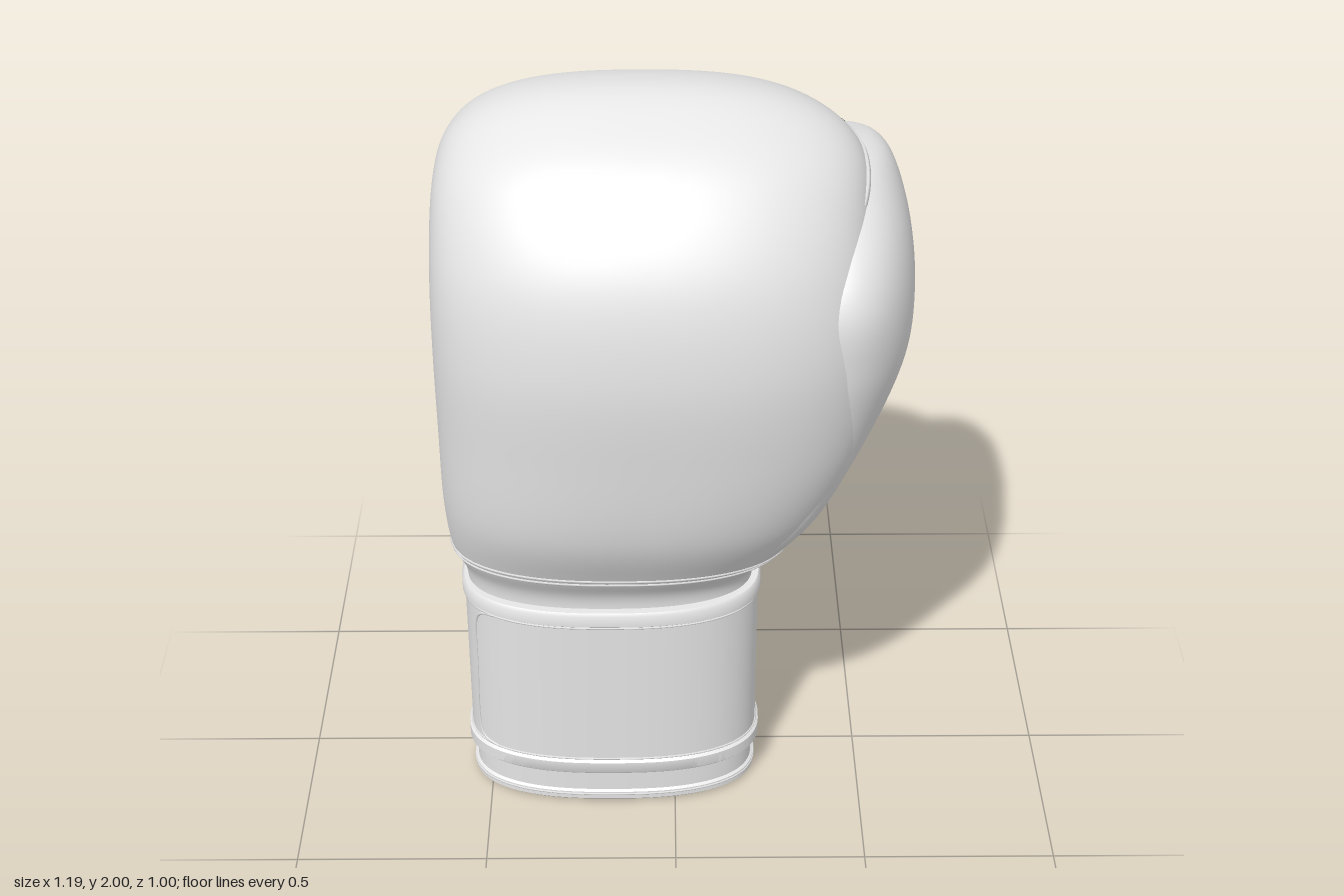
import * as THREE from 'three';
import { toCreasedNormals } from 'three/addons/utils/BufferGeometryUtils.js';

const mat = (name, color) => {
  const m = new THREE.MeshStandardMaterial({ color });
  m.name = name;
  return m;
};

// Cross-section: [outer z, outer y, inner z, inner y, x min, x max, squareness, hollow of the inner side]
function sectionPoint([zo, yo, zi, yi, x0, x1, , hollow = 0], c, s) {
  const h = s + hollow * Math.max(0, -s) * Math.max(0, 1 - c * c / 0.6) ** 2;
  return new THREE.Vector3((x0 + x1) / 2 + c * (x1 - x0) / 2,
    (yo + yi) / 2 + h * (yo - yi) / 2, (zo + zi) / 2 + h * (zo - zi) / 2);
}
function ring(sec, count) {
  const pw = (v) => Math.sign(v) * Math.abs(v) ** (2 / sec[6]);
  return Array.from({ length: count }, (_, j) => {
    const a = (j / count) * Math.PI * 2;
    return sectionPoint(sec, pw(Math.cos(a)), pw(Math.sin(a)));
  });
}

// Smooth blend through a list of sections
function blend(list) {
  const curve = (f) => new THREE.CatmullRomCurve3(list.map((s) => new THREE.Vector3(...f(s))), false, 'catmullrom', 0.5);
  const a = curve((s) => [s[0], s[1], s[6]]);
  const b = curve((s) => [s[2], s[3], s[7] ?? 0]);
  const c = curve((s) => [s[4], s[5], 0]);
  return (t) => {
    const p = a.getPoint(t), q = b.getPoint(t), w = c.getPoint(t);
    return [p.x, p.y, q.x, q.y, w.x, w.y, p.z, q.z];
  };
}

// Skin between rings; skip(i, j, point) leaves a gap
function loft(sections, count, skip = () => false) {
  const pts = sections.flatMap((s) => ring(s, count)), idx = [];
  for (let i = 0; i < sections.length - 1; i++) {
    for (let j = 0; j < count; j++) {
      const k = (j + 1) % count, r = i * count, u = r + count;
      if (skip(i, j, pts[r + j])) continue;
      idx.push(r + j, u + j, r + k, r + k, u + j, u + k);
    }
  }
  const g = new THREE.BufferGeometry().setFromPoints(pts);
  g.setIndex(idx);
  g.computeVertexNormals();
  return g;
}
const sample = (f, rows) => Array.from({ length: rows + 1 }, (_, i) => f(i / rows));

// Mitt from wrist, over the knuckles, to the fingertips
const MITT = [
  [0.285, 0.62, -0.09, 0.62, -0.54, 0.2, 2.4],
  [0.295, 0.7, -0.095, 0.7, -0.55, 0.215, 2.4],
  [0.35, 0.79, -0.125, 0.78, -0.58, 0.295, 2.4, 0.1],
  [0.43, 0.95, -0.15, 0.93, -0.592, 0.395, 2.4, 0.28],
  [0.475, 1.18, -0.135, 1.12, -0.592, 0.475, 2.35, 0.4],
  [0.5, 1.45, -0.12, 1.3, -0.592, 0.495, 2.3, 0.42],
  [0.455, 1.69, -0.115, 1.42, -0.592, 0.48, 2.3, 0.4],
  [0.32, 1.88, -0.125, 1.5, -0.59, 0.475, 2.35, 0.35],
  [0.16, 1.97, -0.14, 1.53, -0.585, 0.475, 2.4, 0.28],
  [0, 2.0, -0.15, 1.54, -0.575, 0.45, 2.4, 0.18],
  [-0.2, 1.945, -0.16, 1.53, -0.555, 0.39, 2.65, 0.05],
  [-0.37, 1.82, -0.17, 1.5, -0.53, 0.35, 2.9],
  [-0.47, 1.67, -0.18, 1.45, -0.505, 0.32, 3],
  [-0.5, 1.52, -0.19, 1.38, -0.47, 0.29, 3],
  [-0.465, 1.36, -0.2, 1.32, -0.42, 0.265, 2.9],
  [-0.41, 1.275, -0.22, 1.27, -0.365, 0.24, 2.8],
  [-0.365, 1.235, -0.255, 1.235, -0.33, 0.22, 2.8],
  [-0.31, 1.22, -0.31, 1.22, -0.29, 0.19, 2.8],
];
const THUMB = [
  [0.22, 0.75, -0.03, 0.75, 0.1, 0.17],
  [0.29, 0.82, -0.04, 0.82, 0.14, 0.285],
  [0.34, 0.96, -0.02, 0.94, 0.17, 0.39],
  [0.36, 1.2, -0.07, 1.1, 0.17, 0.5],
  [0.385, 1.4, -0.22, 1.26, 0.17, 0.575],
  [0.38, 1.57, -0.36, 1.36, 0.18, 0.595],
  [0.285, 1.7, -0.41, 1.52, 0.2, 0.585],
  [0.11, 1.8, -0.39, 1.66, 0.23, 0.55],
  [-0.03, 1.815, -0.32, 1.75, 0.3, 0.505],
  [-0.17, 1.8, -0.17, 1.8, 0.4, 0.43],
].map((s) => [...s, 2.15]);
const mittAt = blend(MITT), thumbAt = blend(THUMB);

// Cuff section at height y, swollen by off
const cuffAt = (y, off) => [0.27 + y * 0.045 + off, y, -0.116 - off, y, -0.547 - off, 0.213 + off, 2.5];

// Point at x on the front (+1) or rear (-1) of a section
function onSection(sec, x, side) {
  const u = (x - (sec[4] + sec[5]) / 2) / ((sec[5] - sec[4]) / 2);
  const s = side * Math.max(0, 1 - Math.abs(u) ** sec[6]) ** (1 / sec[6]);
  return sectionPoint(sec, u, s);
}
// Point on the palm at x, y
function onPalm(x, y) {
  let lo = 0, hi = 0.45;
  for (let i = 0; i < 24; i++) {
    const m = (lo + hi) / 2;
    if (onSection(mittAt(m), x, -1).y < y) lo = m; else hi = m;
  }
  return onSection(mittAt(lo), x, -1);
}

export function createModel() {
  const glove = new THREE.Group();
  glove.name = 'boxingGlove';
  const leather = mat('pale leather', 0xe7e7e7);
  const black = mat('black tag', 0x1e1e1e);
  const add = (name, geo, material = leather) => {
    const m = new THREE.Mesh(geo, material);
    m.name = name;
    glove.add(m);
    return m;
  };
  const cord = (name, pts, r = 0.0035, closed = false) => add(name,
    new THREE.TubeGeometry(new THREE.CatmullRomCurve3(pts, closed), pts.length * 4, r, 5, closed));

  // Mitt with a vent open in the palm, narrower towards the wrist
  const vent = (i, j, p) => i < 60 && p.y > 0.78 && p.y < 1.1 && Math.abs(j - 116) <= (p.y > 0.92 ? 1 : 0);
  add('mitt', loft(sample(mittAt, 150), 160, vent));
  add('thumb', loft(sample(thumbAt, 70), 64));

  // Hollow cuff: lining down, rim, then sleeve up, with a notch in the rear hem
  const N = 96;
  const lid = [0.1, 0.62, 0.09, 0.62, -0.17, -0.16, 2.5];
  const sleeve = [[0.62, -0.03], [0.1, -0.02], [0.012, -0.018], [0.0, -0.008], [0.012, 0.004], [0.035, 0.004],
    [0.04, -0.003], [0.11, -0.003]];
  const notch = (i, j) => i >= 2 && i <= 7 && j === (N * 3) / 4;
  add('cuffSleeve', toCreasedNormals(loft([lid, ...sleeve.map((p) => cuffAt(...p))], N, notch), 0.7));

  // Strap with a raised binding at each edge
  const strap = [[0.11, -0.02], [0.11, 0.01], [0.117, 0.016], [0.15, 0.016], [0.157, 0.007], [0.612, 0.007],
    [0.618, 0.014], [0.652, 0.014], [0.66, 0.008], [0.66, -0.03]];
  add('wristStrap', toCreasedNormals(loft(strap.map((p) => cuffAt(...p)), N), 0.7));

  // Stitch rings round the cuff and wrist
  for (const [y, off] of [[0.028, 0.004], [0.16, 0.008], [0.61, 0.008]]) {
    cord('cuffStitch', ring(cuffAt(y, off), 64), 0.003, true);
  }
  for (const t of [1.85, 2.0]) cord('wristStitch', ring(mittAt(t / (MITT.length - 1)), 64), 0.004, true);

  // Rounded end of the strap on the front
  const flap = [[-0.47, 0.61], [-0.505, 0.6], [-0.52, 0.57], [-0.525, 0.4], [-0.525, 0.2], [-0.515, 0.17], [-0.48, 0.16]];
  cord('strapEndStitch', flap.map(([x, y]) => onSection(cuffAt(y, 0.008), x, 1)), 0.004);

  // Piping in the fold between thumb and fingers
  const fold = [[0.33, 1.57, 0.36], [0.37, 1.65, 0.31], [0.42, 1.715, 0.235], [0.455, 1.785, 0.13], [0.455, 1.825, 0.03],
    [0.435, 1.835, -0.06], [0.41, 1.825, -0.14]];
  cord('thumbPiping', fold.map((p) => new THREE.Vector3(...p)), 0.012);

  // Tag bridging thumb and fingers
  const tag = add('thumbTag', new THREE.BoxGeometry(0.038, 0.022, 0.135), black);
  tag.position.set(0.388, 1.8, -0.222);
  tag.rotation.set(-0.2, 0.25, 0);

  // Arched stitching around the vent, with rungs
  for (const [w, top] of [[0.065, 1.17], [0.145, 1.24]]) {
    const arch = [[-w * 0.8, 0.74], [-w * 0.92, 0.85], [-w, 0.95], [-w, 1.04], [-w, top - 0.06], [-w * 0.6, top - 0.01], [0, top],
      [w * 0.6, top - 0.01], [w, top - 0.06], [w, 1.04], [w, 0.95], [w * 0.92, 0.85], [w * 0.8, 0.74]];
    cord('palmStitch', arch.map(([x, y]) => onPalm(x - 0.2, y)));
  }
  for (const s of [-1, 1]) {
    for (const y of [0.86, 0.98, 1.08]) cord('palmRung', [0.09, 0.115, 0.145].map((x) => onPalm(-0.2 + s * x, y)));
  }
  cord('palmTopStitch', [-0.45, -0.35, -0.25, -0.15, -0.05, 0.05, 0.12].map((x) => onPalm(x, 1.32)));

  // Seam where the thumb meets the palm
  cord('thumbSeam', [[0.2, 0.74], [0.18, 0.82], [0.16, 0.92], [0.14, 1.02], [0.12, 1.12], [0.11, 1.22]].map(([x, y]) => onPalm(x, y)));
  return glove;
}
